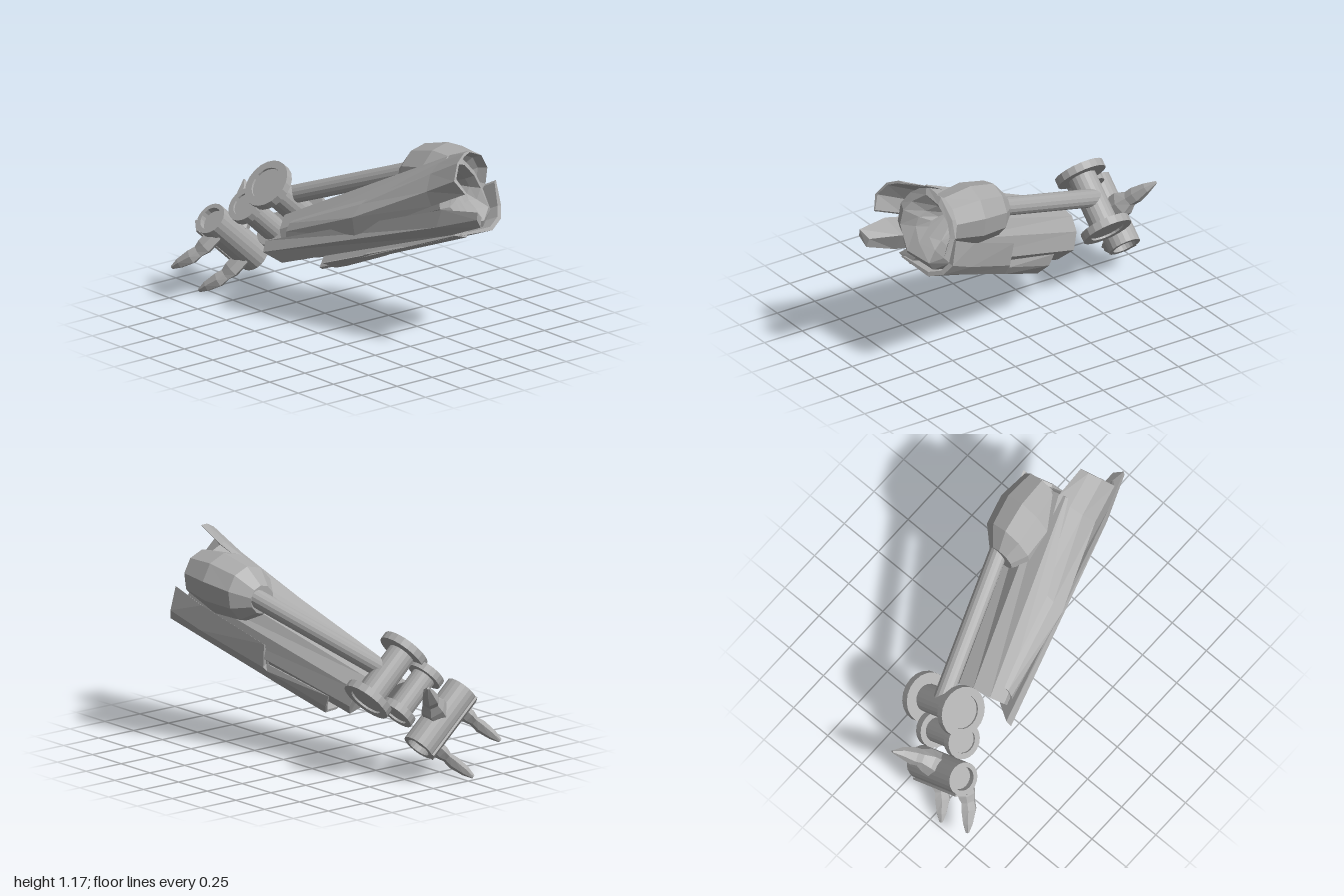
import * as THREE from 'three';

const grey = new THREE.MeshStandardMaterial({ color: 0xaaaaaa, flatShading: true, side: THREE.DoubleSide });
grey.name = 'plain grey';

// Skin a solid through matching rings of [x, y, z] points and close both ends
function loft(name, rings) {
  const n = rings[0].length, index = [];
  rings.slice(1).forEach((_, r) => {
    for (let i = 0; i < n; i++) {
      const a = r * n + i, b = r * n + (i + 1) % n;
      index.push(a, b, a + n, b, b + n, a + n);
    }
  });
  [0, (rings.length - 1) * n].forEach((o) => {
    for (let i = 0; i < n / 2 - 1; i++) {
      const a = o + i, b = o + i + 1, c = o + n - 2 - i, d = o + n - 1 - i;
      index.push(a, b, c, a, c, d);
    }
  });
  const geo = new THREE.BufferGeometry();
  geo.setAttribute('position', new THREE.Float32BufferAttribute(rings.flat(2), 3));
  geo.setIndex(index);
  geo.computeVertexNormals();
  const mesh = new THREE.Mesh(geo, grey);
  mesh.name = name;
  return mesh;
}

// Curved armour plate: each open section is doubled inwards for thickness
function plate(name, sections, thickness = 0.16) {
  return loft(name, sections.map((s) => {
    const end = s[s.length - 1];
    const mid = s[0].map((v, k) => (v + end[k]) / 2);
    const inner = s.map((p, i) => p.map((v, k) =>
      v + (mid[k] - v) * (i === 0 || i === s.length - 1 ? thickness / 2 : thickness)));
    return [...s, ...inner.reverse()];
  }));
}

// Turned part lying across the arm; profile is [radius, offset] pairs
function turned(name, profile, x, y, z, sides = 20) {
  const geo = new THREE.LatheGeometry(profile.map((p) => new THREE.Vector2(...p)), sides);
  const mesh = new THREE.Mesh(geo.rotateZ(-Math.PI / 2), grey);
  mesh.name = name;
  mesh.position.set(x, y, z);
  return mesh;
}

// Spool: shaft between two flanges with recessed end faces
function spool(name, half, flange, shaft, x, y, z) {
  const t = 0.045, hub = flange * 0.68, d = half - 0.012;
  return turned(name, [
    [0, -d], [hub, -d], [hub, -half], [flange, -half], [flange, -half + t], [shaft, -half + t],
    [shaft, half - t], [flange, half - t], [flange, half], [hub, half], [hub, d], [0, d],
  ], x, y, z);
}

// Claw: six-sided rings along a path of [y, z, halfWidth, halfDepth]
function claw(name, x, path) {
  return loft(name, path.map(([y, z, w, h], i) => {
    const a = path[Math.max(i - 1, 0)], b = path[Math.min(i + 1, path.length - 1)];
    const len = Math.hypot(b[0] - a[0], b[1] - a[1]);
    const ny = -(b[1] - a[1]) / len, nz = (b[0] - a[0]) / len;
    return Array.from({ length: 6 }, (_, k) => {
      const t = k * Math.PI / 3 + Math.PI / 6;
      const s = Math.sin(t) * h;
      return [x + Math.cos(t) * w, y + ny * s, z + nz * s];
    });
  }));
}

export function createModel() {
  const model = new THREE.Group();
  model.name = 'mechanicalArm';
  // Arm space: x runs across the joints, the whole arm is rolled about z
  const arm = new THREE.Group();
  arm.name = 'arm';
  arm.rotation.z = -0.735;
  arm.position.set(-0.27, 0.245, 0);
  model.add(arm);

  // Forearm core, its front rim rounding in to a sunken socket
  const rim = [[-0.27, 0.8, 0.66], [-0.25, 0.93, 0.62], [-0.14, 0.98, 0.6], [0.0, 0.97, 0.59], [0.1, 0.93, 0.6],
    [0.2, 0.85, 0.65], [0.175, 0.74, 0.7], [0.01, 0.63, 0.74], [-0.18, 0.65, 0.72], [-0.25, 0.73, 0.7]];
  const inset = (scale, dz) => rim.map(([x, y, z]) => [x * scale, 0.85 + (y - 0.85) * scale, z + dz]);
  arm.add(loft('forearmCore', [
    inset(0.3, -0.08), inset(0.5, -0.03), inset(0.8, 0.02), rim,
    [[-0.15, 0.22, -0.36], [-0.14, 0.31, -0.4], [-0.06, 0.38, -0.42], [0.03, 0.41, -0.44], [0.12, 0.4, -0.43],
      [0.2, 0.34, -0.4], [0.2, 0.25, -0.33], [0.08, 0.18, -0.31], [-0.06, 0.16, -0.32], [-0.12, 0.18, -0.34]],
  ]));

  // Armour plates; the left one steps down behind the elbow
  arm.add(plate('leftPlate', [
    [[0.127, 1.0, 0.64], [0.232, 0.903, 0.67], [0.247, 0.836, 0.71], [0.204, 0.745, 0.75], [0.01, 0.6, 0.77]],
    [[0.145, 0.9, 0.48], [0.24, 0.79, 0.5], [0.25, 0.71, 0.5], [0.2, 0.62, 0.52], [0.03, 0.49, 0.53]],
    [[0.15, 0.67, 0.12], [0.235, 0.56, 0.14], [0.248, 0.47, 0.14], [0.19, 0.4, 0.14], [0.04, 0.31, 0.14]],
    [[0.205, 0.56, 0.14], [0.236, 0.53, 0.13], [0.248, 0.46, 0.13], [0.19, 0.39, 0.13], [0.04, 0.3, 0.13]],
    [[0.2, 0.38, -0.25], [0.24, 0.33, -0.22], [0.245, 0.265, -0.17], [0.18, 0.215, -0.17], [0.05, 0.18, -0.13]],
  ]));
  arm.add(plate('rightPlate', [
    [[-0.275, 1.0, 0.78], [-0.31, 0.965, 0.79], [-0.34, 0.89, 0.82], [-0.325, 0.79, 0.86], [-0.24, 0.765, 0.9]],
    [[-0.22, 0.95, 0.6], [-0.26, 0.87, 0.6], [-0.29, 0.79, 0.62], [-0.28, 0.69, 0.66], [-0.21, 0.64, 0.68]],
    [[-0.17, 0.64, 0.2], [-0.2, 0.58, 0.2], [-0.235, 0.5, 0.2], [-0.237, 0.41, 0.2], [-0.15, 0.34, 0.2]],
    [[-0.12, 0.36, -0.3], [-0.145, 0.32, -0.3], [-0.165, 0.27, -0.3], [-0.155, 0.22, -0.3], [-0.12, 0.18, -0.3]],
  ]));
  arm.add(loft('keelPlate', [
    [[-0.18, 0.71, 1.0], [-0.155, 0.675, 1.0], [-0.085, 0.66, 0.98], [-0.11, 0.71, 0.97]],
    [[-0.22, 0.64, 0.78], [-0.16, 0.55, 0.75], [-0.05, 0.57, 0.77], [-0.08, 0.69, 0.76]],
    [[-0.15, 0.13, -0.41], [-0.13, 0.07, -0.4], [-0.04, 0.075, -0.32], [-0.04, 0.17, -0.34]],
  ]));
  arm.add(loft('spikePlate', [
    [[-0.02, 0.58, 0.76], [0.07, 0.62, 0.75], [0.06, 0.68, 0.73], [-0.01, 0.66, 0.73]],
    [[0.125, 0.17, -0.22], [0.15, 0.175, -0.22], [0.15, 0.24, -0.24], [0.125, 0.24, -0.24]],
  ]));

  // Faceted elbow hood, hollowed at the front: rings of [y, z, halfWidth, halfHeight]
  arm.add(loft('elbow', [
    [0.87, 0.5, 0.07, 0.07], [0.9, 0.56, 0.12, 0.13], [0.905, 0.61, 0.145, 0.155], [0.885, 0.43, 0.175, 0.185],
    [0.85, 0.26, 0.155, 0.165], [0.825, 0.175, 0.08, 0.085],
  ].map(([y, z, w, h]) => Array.from({ length: 10 }, (_, k) => {
    const t = (k + 0.5) * Math.PI / 5;
    return [-0.035 + Math.cos(t) * w, y + Math.sin(t) * h, z];
  }))));

  // Rod from the elbow to the first spool
  const from = new THREE.Vector3(-0.02, 0.908, 0.3), to = new THREE.Vector3(-0.02, 0.45, -0.6);
  const rod = new THREE.Mesh(new THREE.CylinderGeometry(0.052, 0.052, from.distanceTo(to), 16), grey);
  rod.name = 'rod';
  rod.position.copy(from).lerp(to, 0.5);
  rod.quaternion.setFromUnitVectors(new THREE.Vector3(0, 1, 0), to.clone().sub(from).normalize());
  arm.add(rod);

  // Joint spools
  arm.add(spool('largeSpool', 0.195, 0.144, 0.08, -0.012, 0.423, -0.595));
  arm.add(spool('smallSpool', 0.16, 0.105, 0.07, -0.025, 0.272, -0.685));

  // Hollow wrist tube with a thin strip along its lower back
  arm.add(turned('wristTube', [
    [0, -0.175], [0.068, -0.175], [0.068, -0.21], [0.094, -0.21],
    [0.094, 0.21], [0.068, 0.21], [0.068, 0.175], [0, 0.175],
  ], 0, 0.12, -0.83));
  const strip = new THREE.Mesh(new THREE.BoxGeometry(0.42, 0.08, 0.012), grey);
  strip.name = 'wristStrip';
  strip.position.set(0, 0.053, -0.897);
  strip.rotation.x = -Math.PI / 4;
  arm.add(strip);

  // Claws
  [-1, 1].forEach((s) => arm.add(claw(s > 0 ? 'leftClaw' : 'rightClaw', s * 0.13, [
    [0.07, -0.81, 0.04, 0.055], [-0.02, -0.84, 0.042, 0.058], [-0.06, -0.86, 0.028, 0.045],
    [-0.1, -0.885, 0.036, 0.05], [-0.16, -0.94, 0.028, 0.032], [-0.2, -0.975, 0.012, 0.008],
  ])));
  arm.add(claw('thumbClaw', 0, [
    [0.17, -0.84, 0.075, 0.075], [0.24, -0.865, 0.075, 0.07], [0.29, -0.89, 0.045, 0.048],
    [0.33, -0.915, 0.048, 0.05], [0.4, -0.955, 0.03, 0.032], [0.45, -0.995, 0.008, 0.006],
  ]));
  return model;
}
